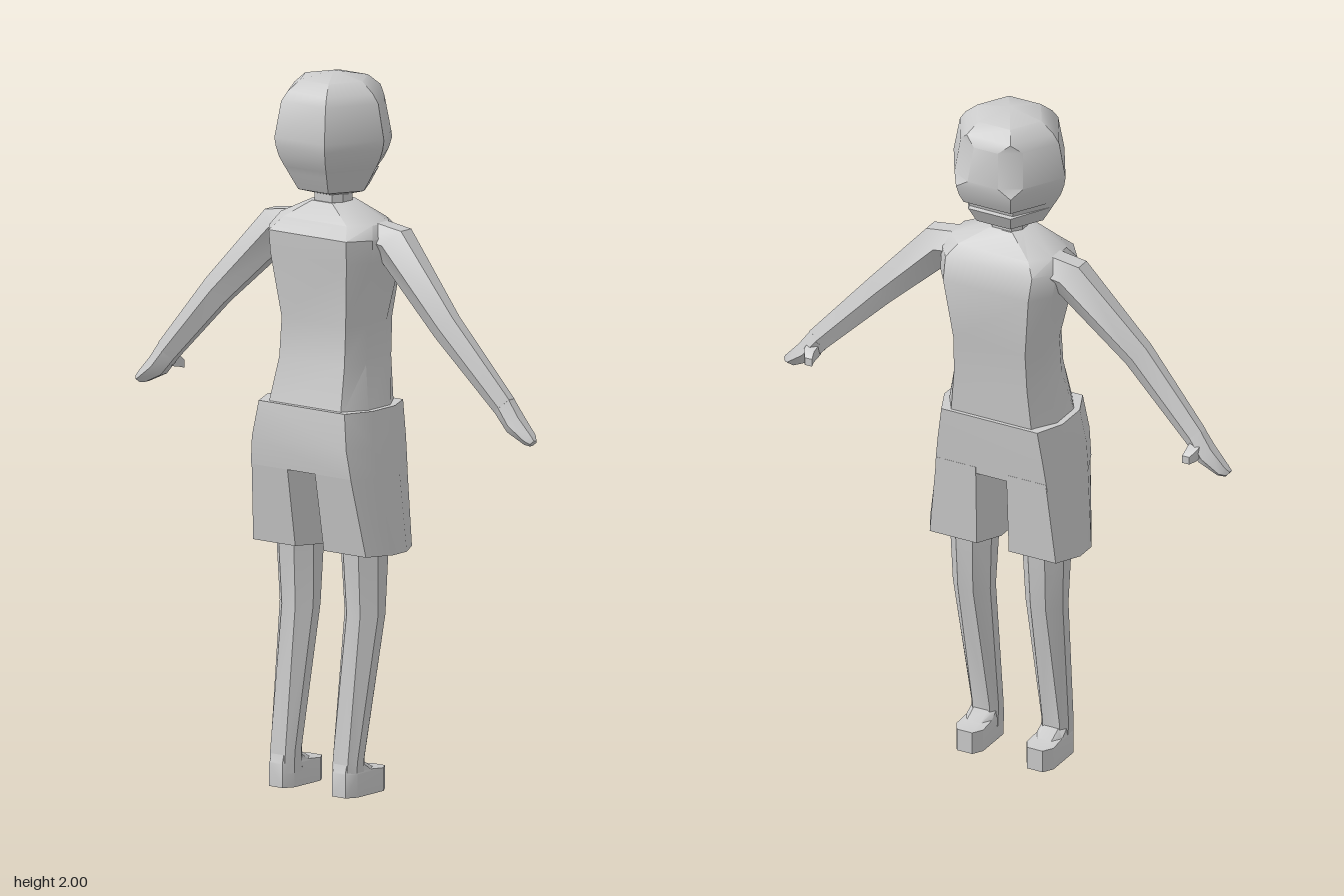
import * as THREE from 'three';
import { toCreasedNormals } from 'three/addons/utils/BufferGeometryUtils.js';

const material = new THREE.MeshStandardMaterial({ color: 0xcccccc });

// Skin a list of equal-length rings of [x, y, z], closing both ends
function loft(name, rings, crease = 0.6) {
  const pos = [];
  let volume = 0;
  const tri = (a, b, c) => {
    const [A, B, C] = [a, b, c].map((p) => new THREE.Vector3(...p));
    volume += A.dot(B.clone().cross(C));
    if (B.clone().sub(A).cross(C.clone().sub(A)).length() > 1e-9) pos.push([a, b, c]);
  };
  const n = rings[0].length;
  for (let i = 0; i < rings.length - 1; i++) {
    for (let j = 0; j < n; j++) {
      const k = (j + 1) % n;
      tri(rings[i][j], rings[i][k], rings[i + 1][k]);
      tri(rings[i][j], rings[i + 1][k], rings[i + 1][j]);
    }
  }
  const cap = (ring, flip) => {
    const mid = [0, 1, 2].map((c) => ring.reduce((s, p) => s + p[c], 0) / n);
    ring.forEach((p, j) => {
      const q = ring[(j + 1) % n];
      flip ? tri(mid, q, p) : tri(mid, p, q);
    });
  };
  cap(rings[0], true);
  cap(rings[rings.length - 1], false);
  // Turn the faces outward whichever way the rings run
  const flat = pos.flatMap((t) => (volume < 0 ? [t[0], t[2], t[1]] : t)).flat();
  const geo = new THREE.BufferGeometry();
  geo.setAttribute('position', new THREE.Float32BufferAttribute(flat, 3));
  const mesh = new THREE.Mesh(toCreasedNormals(geo, crease), material);
  mesh.name = name;
  return mesh;
}

// Chamfered cross-section at height y between x0..x1 and z0..z1
function octagon(y, x0, x1, z0, z1, cx, cz) {
  return [
    [x0 + cx, y, z1], [x1 - cx, y, z1], [x1, y, z1 - cz], [x1, y, z0 + cz],
    [x1 - cx, y, z0], [x0 + cx, y, z0], [x0, y, z0 + cz], [x0, y, z1 - cz],
  ];
}
const body = (y, w, z0, z1, cx, cz) => octagon(y, -w, w, z0, z1, cx, cz);

// Six-sided head ring; bevel flattens the face edges into eyes, dent sinks the mouth
function headRing([y, r, bevel = 0, dent = 0]) {
  const h = r * 0.866, zf = -h + dent;
  const bx = bevel * 0.5, bz = bevel * 0.866;
  return [
    [r, 0], [r / 2, h], [-r / 2, h], [-r, 0],
    [-r / 2 - bx, zf + bz], [-r / 2 + bevel, zf],
    [r / 2 - bevel, zf], [r / 2 + bx, zf + bz],
  ].map(([x, z]) => [x, y, z + 0.003]);
}

// Six-sided arm ring, tilted so that it lies across the arm
function armRing(side, [x, y, z, h, zh, tilt = 0.78]) {
  const ux = Math.sin(tilt), uy = Math.cos(tilt);
  return [[1, 0.4], [1, -0.4], [0, -1], [-1, -0.4], [-1, 0.4], [0, 1]].map(
    ([u, v]) => [side * (x + u * h * ux), y + u * h * uy, z + v * zh]);
}

export function createModel() {
  const model = new THREE.Group();
  model.name = 'figure';

  // Head with eye facets and a mouth slot
  model.add(loft('head', [
    [2.0, 0.001], [1.98, 0.1], [1.95, 0.137], [1.925, 0.155, 0.04],
    [1.825, 0.175, 0.04], [1.8, 0.171], [1.77, 0.161], [1.745, 0.147],
    [1.742, 0.145, 0, 0.016], [1.724, 0.134, 0, 0.012], [1.72, 0.132],
    [1.675, 0.105], [1.66, 0.05],
  ].map(headRing)));

  model.add(loft('neck', [
    body(1.6, 0.05, -0.04, 0.05, 0.02, 0.025),
    body(1.69, 0.05, -0.04, 0.05, 0.02, 0.025),
  ]));

  // Torso with sloping shoulders
  model.add(loft('torso', [
    body(1.06, 0.172, -0.1, 0.135, 0.045, 0.07),
    body(1.2, 0.142, -0.105, 0.1, 0.028, 0.06),
    body(1.31, 0.14, -0.112, 0.092, 0.028, 0.06),
    body(1.49, 0.175, -0.132, 0.115, 0.042, 0.06),
    body(1.555, 0.18, -0.115, 0.12, 0.045, 0.06),
    body(1.59, 0.16, -0.09, 0.085, 0.05, 0.05),
    body(1.64, 0.055, -0.045, 0.055, 0.02, 0.025),
  ]));

  // Shorts: hips here, legs below
  model.add(loft('shortsHips', [
    body(1.08, 0.185, -0.112, 0.145, 0.035, 0.08),
    body(0.98, 0.2, -0.106, 0.156, 0.035, 0.08),
    body(0.9, 0.21, -0.1, 0.148, 0.035, 0.08),
  ]));

  for (const [side, label] of [[1, 'left'], [-1, 'right']]) {
    const mirror = (ring) => ring.map(([x, y, z]) => [side * x, y, z]);

    // Shorts leg, with its inner side bulging towards the middle
    model.add(loft(label + 'ShortsLeg', [
      octagon(0.92, 0.012, 0.207, -0.102, 0.15, 0.036, 0.08),
      octagon(0.68, 0.012, 0.235, -0.092, 0.11, 0.038, 0.07),
    ].map(mirror)));

    // Bare leg
    model.add(loft(label + 'Leg', [
      octagon(0.74, 0.045, 0.18, -0.055, 0.075, 0.04, 0.04),
      octagon(0.5, 0.055, 0.172, -0.042, 0.06, 0.035, 0.035),
      octagon(0.1, 0.067, 0.152, 0.04, 0.112, 0.016, 0.022),
      octagon(0.04, 0.067, 0.15, 0.035, 0.115, 0.016, 0.022),
    ].map(mirror)));

    // Foot, with an instep sloping up to the ankle
    model.add(loft(label + 'Foot', [
      octagon(0, 0.068, 0.152, -0.053, 0.12, 0.018, 0.03),
      octagon(0.065, 0.068, 0.152, -0.053, 0.12, 0.018, 0.03),
      octagon(0.07, 0.07, 0.15, 0.0, 0.118, 0.018, 0.03),
      octagon(0.092, 0.072, 0.148, 0.04, 0.112, 0.016, 0.022),
    ].map(mirror)));

    // Arm from inside the shoulder to the wrist
    model.add(loft(label + 'Arm', [
      [0.1, 1.555, -0.015, 0.045, 0.06, 0.1],
      [0.198, 1.54, -0.015, 0.057, 0.057],
      [0.4, 1.335, 0.008, 0.044, 0.038],
      [0.59, 1.135, -0.008, 0.033, 0.029],
    ].map((s) => armRing(side, s))));

    // Flat hand
    model.add(loft(label + 'Hand', [
      [0.585, 1.14, -0.008, 0.033, 0.029],
      [0.625, 1.09, -0.01, 0.03, 0.034, 0.7],
      [0.675, 1.053, -0.01, 0.018, 0.026, 0.7],
      [0.69, 1.045, -0.006, 0.011, 0.014, 0.7],
    ].map((s) => armRing(side, s))));

    // Thumb pointing forward and outward
    const thumb = (x, y, z, r) => [
      [x - r, y - r, z], [x + r, y - r, z], [x + r, y + r, z], [x - r, y + r, z],
    ];
    model.add(loft(label + 'Thumb', [
      thumb(0.598, 1.11, -0.015, 0.018),
      thumb(0.598, 1.1, -0.05, 0.016),
      thumb(0.59, 1.09, -0.068, 0.011),
    ].map(mirror)));
  }
  return model;
}
